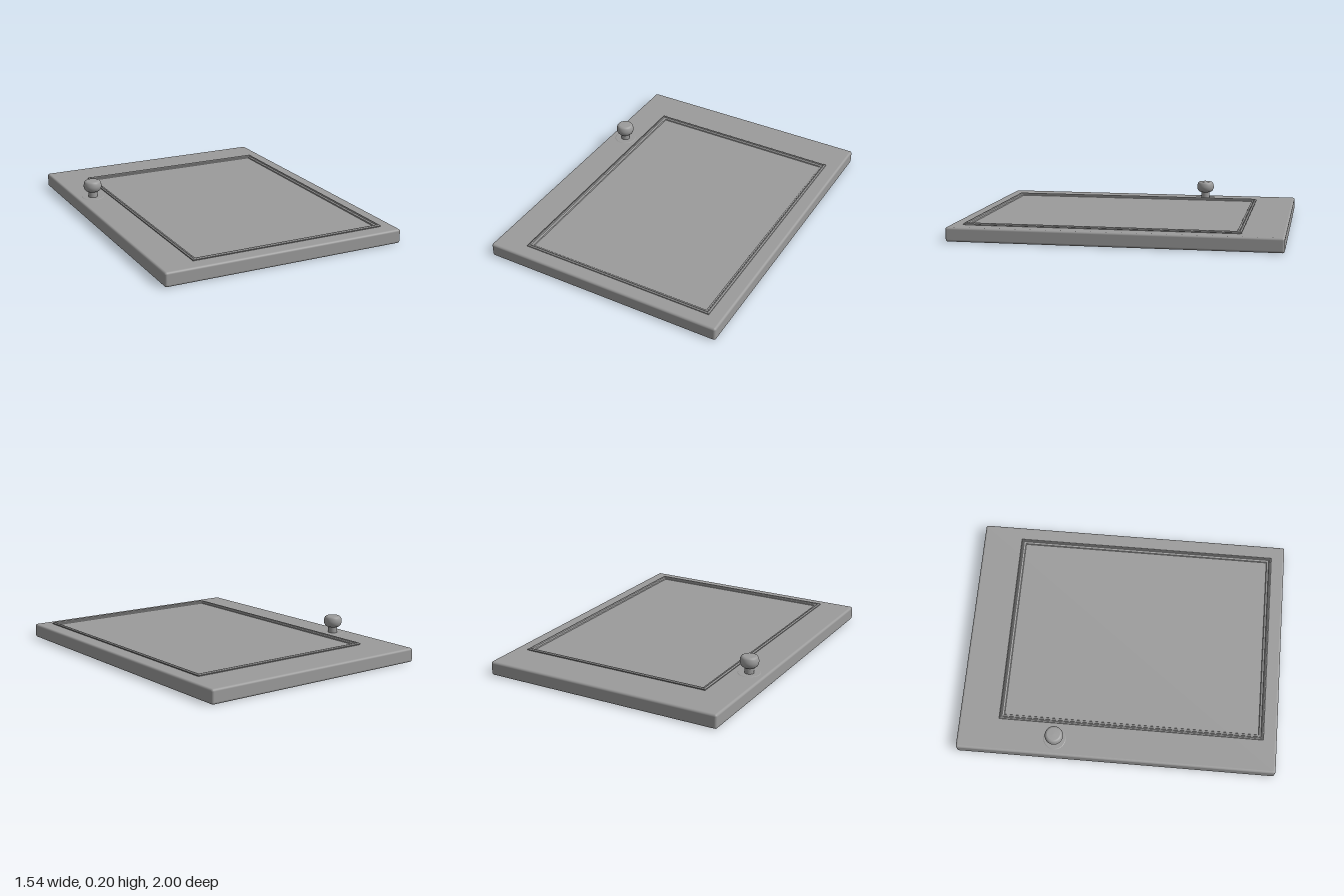
import * as THREE from 'three';
import { RoundedBoxGeometry } from 'three/addons/geometries/RoundedBoxGeometry.js';

const grey = new THREE.MeshStandardMaterial({ color: 0x9b9b9b, side: THREE.DoubleSide });
const SLAB_TOP = 0.088;

function addMesh(parent, name, geometry, x = 0, y = 0, z = 0) {
  const mesh = new THREE.Mesh(geometry, grey);
  mesh.name = name;
  mesh.position.set(x, y, z);
  parent.add(mesh);
  return mesh;
}

// Sweeps an [inset, height] profile round a rectangle with mitred corners.
function mitredFrame(x0, x1, z0, z1, profile) {
  const positions = [];
  const corner = (i, [d, y]) => [
    [x0 + d, y, z1 - d], [x1 - d, y, z1 - d], [x1 - d, y, z0 + d], [x0 + d, y, z0 + d],
  ][i % 4];
  for (let p = 0; p < profile.length - 1; p++) {
    for (let i = 0; i < 4; i++) {
      const a = corner(i, profile[p]), b = corner(i + 1, profile[p]);
      const c = corner(i + 1, profile[p + 1]), d = corner(i, profile[p + 1]);
      positions.push(...a, ...b, ...c, ...a, ...c, ...d);
    }
  }
  const geometry = new THREE.BufferGeometry();
  geometry.setAttribute('position', new THREE.Float32BufferAttribute(positions, 3));
  geometry.computeVertexNormals();
  return geometry;
}

export function createModel() {
  const door = new THREE.Group();
  door.name = 'cabinetDoor';

  // Slab with softly rounded edges
  addMesh(door, 'slab', new RoundedBoxGeometry(1.54, SLAB_TOP, 2, 4, 0.014), 0, SLAB_TOP / 2, 0);

  // Raised moulding: undercut outer edge, ridge, then a step down to an inner lip
  addMesh(door, 'moulding', mitredFrame(-0.565, 0.683, -0.75, 0.915, [
    [0.008, SLAB_TOP - 0.002], [0.007, 0.092], [0, 0.093], [0.001, 0.098], [0.008, 0.103],
    [0.014, 0.103], [0.018, 0.097], [0.023, 0.096], [0.03, 0.094], [0.034, SLAB_TOP - 0.002],
  ]));

  // Turned knob: thin rose, stem and rounded head
  const knob = new THREE.Group();
  knob.name = 'knob';
  knob.position.set(-0.664, SLAB_TOP, -0.388);
  door.add(knob);
  addMesh(knob, 'rose', new THREE.CylinderGeometry(0.066, 0.07, 0.002, 40), 0, 0.001, 0);
  addMesh(knob, 'stem', new THREE.CylinderGeometry(0.029, 0.029, 0.045, 40), 0, 0.0225, 0);
  const headCurve = new THREE.SplineCurve([
    [0.028, 0.039], [0.04, 0.042], [0.051, 0.052], [0.057, 0.07],
    [0.056, 0.088], [0.05, 0.104], [0.039, 0.111],
  ].map(([r, y]) => new THREE.Vector2(r, y)));
  addMesh(knob, 'head', new THREE.LatheGeometry([
    new THREE.Vector2(0, 0.039), ...headCurve.getPoints(24), new THREE.Vector2(0, 0.112),
  ], 40));

  return door;
}
